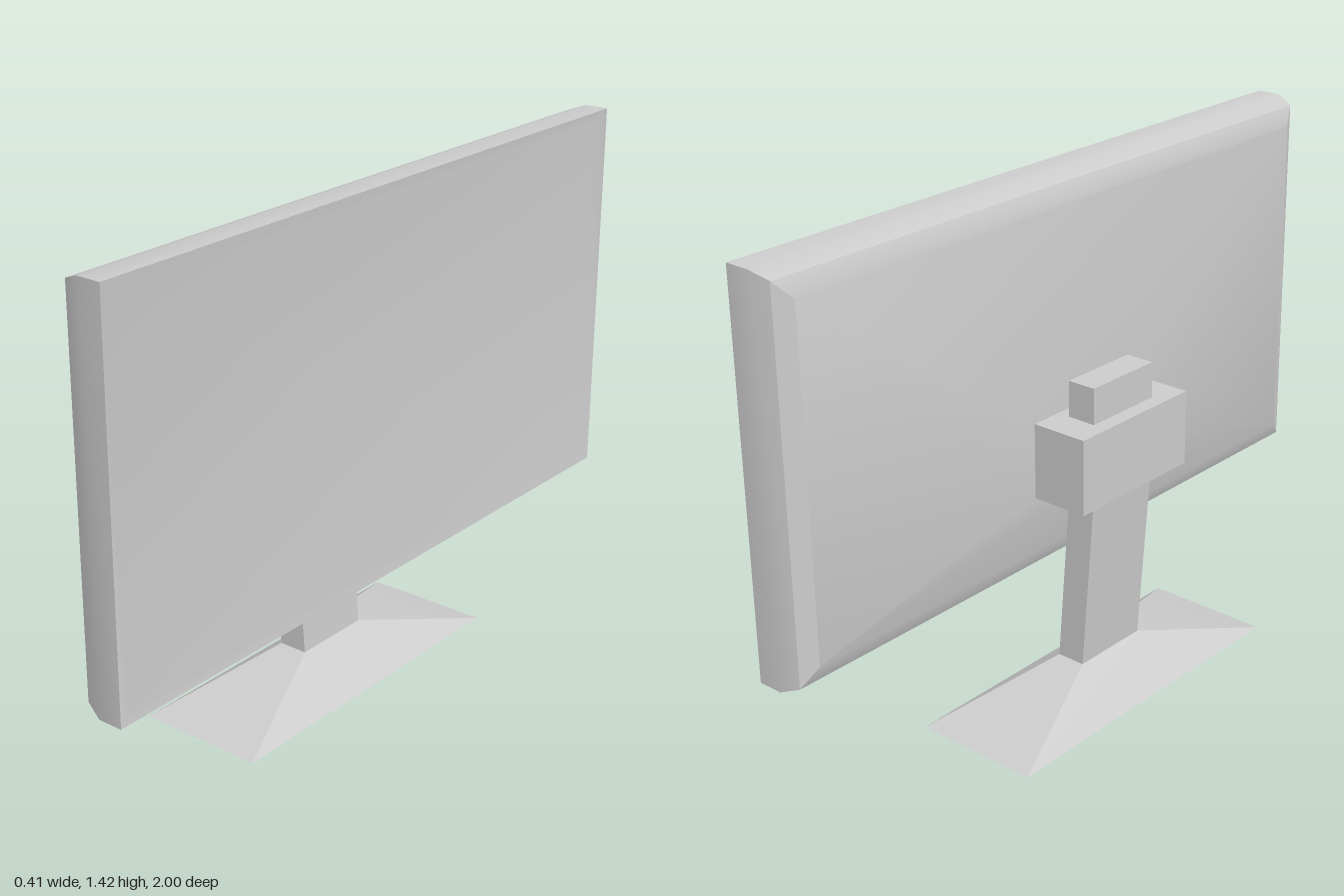
import * as THREE from 'three';
import { toCreasedNormals } from 'three/addons/utils/BufferGeometryUtils.js';

const grey = new THREE.MeshStandardMaterial({ color: 0xcccccc });

function addMesh(parent, name, geometry) {
  const mesh = new THREE.Mesh(geometry, grey);
  mesh.name = name;
  parent.add(mesh);
  return mesh;
}

// Closed skin through four-cornered rings, capped at both ends
function loft(rings, crease) {
  const positions = rings.flat(2);
  const index = [];
  for (let r = 0; r < rings.length - 1; r++) {
    for (let i = 0; i < 4; i++) {
      const a = r * 4 + i, b = r * 4 + (i + 1) % 4;
      index.push(a, b, b + 4, a, b + 4, a + 4);
    }
  }
  const e = (rings.length - 1) * 4;
  index.push(0, 2, 1, 0, 3, 2, e, e + 1, e + 2, e, e + 2, e + 3);
  const geometry = new THREE.BufferGeometry();
  geometry.setAttribute('position', new THREE.Float32BufferAttribute(positions, 3));
  geometry.setIndex(index);
  return toCreasedNormals(geometry, crease);
}

// Upright rectangle at a given x, and level rectangle at a given y
const uprightRing = ([x, y0, y1, z]) => [[x, y0, -z], [x, y1, -z], [x, y1, z], [x, y0, z]];
const levelRing = ([y, x0, x1, z]) => [[x0, y, -z], [x0, y, z], [x1, y, z], [x1, y, -z]];

function box(parent, name, x0, x1, y0, y1, z) {
  const mesh = addMesh(parent, name, new THREE.BoxGeometry(x1 - x0, y1 - y0, 2 * z));
  mesh.position.set((x0 + x1) / 2, (y0 + y1) / 2, 0);
}

export function createModel() {
  const model = new THREE.Group();
  model.name = 'monitor';

  // Screen housing facing +x: tapered back, rounded rim, shallow recessed panel
  addMesh(model, 'screen', loft([
    [0.015, 0.615, 0.825, 0.21],
    [0.06, 0.425, 1.355, 0.935],
    [0.083, 0.375, 1.405, 0.982],
    [0.135, 0.355, 1.425, 1],
    [0.205, 0.355, 1.425, 1],
    [0.2, 0.385, 1.395, 0.97],
  ].map(uprightRing), 0.5));

  // Bracket behind the screen and the top of the post above it
  box(model, 'mountBracket', -0.148, 0.016, 0.615, 0.825, 0.21);
  box(model, 'postTop', -0.105, -0.022, 0.825, 0.925, 0.118);

  // Leaning neck and the sloped foot it rises from
  const stand = new THREE.Group();
  stand.name = 'stand';
  model.add(stand);
  addMesh(stand, 'neck', loft([
    [0.105, -0.065, 0.018, 0.118],
    [0.62, -0.105, -0.022, 0.118],
  ].map(levelRing), 0.4));
  addMesh(stand, 'base', loft([
    [0, -0.205, 0.16, 0.5],
    [0.105, -0.065, 0.018, 0.118],
  ].map(levelRing), 0.4));

  return model;
}
